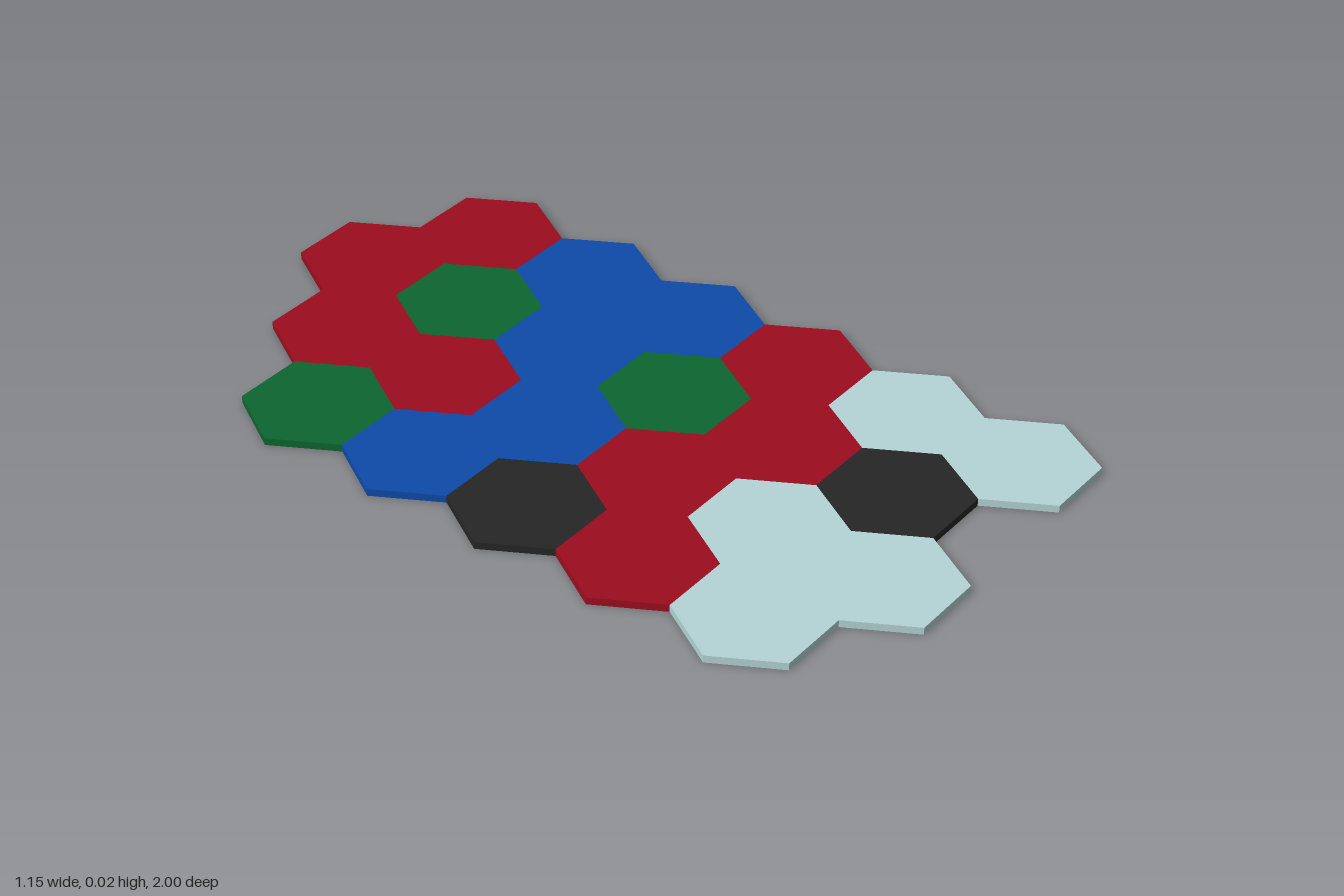
import * as THREE from 'three';

const TILE = 2 / 6.5;               // flat-to-flat size of one hexagon
const RADIUS = TILE / Math.sqrt(3); // corner radius
const THICK = 0.0185;

const COLORS = {
  red: 0x9c0d1e,
  green: 0x0d6630,
  blue: 0x0d4aa8,
  black: 0x262626,
  pale: 0xb4d4d6,
};

// Columns from -x to +x; tiles run from back to front, start is in tile sizes
const COLUMNS = [
  { start: -1.75, tiles: ['green', 'blue', 'black', 'red', 'pale'] },
  { start: -2.25, tiles: ['red', 'red', 'blue', 'red', 'pale', 'pale'] },
  { start: -2.75, tiles: ['red', 'green', 'blue', 'green', 'red', 'black'] },
  { start: -2.25, tiles: ['red', 'blue', 'blue', 'red', 'pale', 'pale'] },
];

export function createModel() {
  const model = new THREE.Group();
  model.name = 'hexTileBoard';

  // Flat hexagonal prism with corners pointing along x
  const hex = new THREE.CylinderGeometry(RADIUS, RADIUS, THICK, 6, 1, false, Math.PI / 6);
  hex.translate(0, THICK / 2, 0);

  // One group and one material per colour
  const groups = {};
  const materials = {};
  for (const [name, color] of Object.entries(COLORS)) {
    groups[name] = new THREE.Group();
    groups[name].name = name + 'Tiles';
    materials[name] = new THREE.MeshStandardMaterial({ color, flatShading: true });
    model.add(groups[name]);
  }

  // Lay the tiles column by column
  COLUMNS.forEach(({ start, tiles }, col) => {
    tiles.forEach((name, row) => {
      const tile = new THREE.Mesh(hex, materials[name]);
      tile.name = name + 'Tile';
      tile.position.set((col - 1.5) * 1.5 * RADIUS, 0, (start + row) * TILE);
      groups[name].add(tile);
    });
  });

  return model;
}
